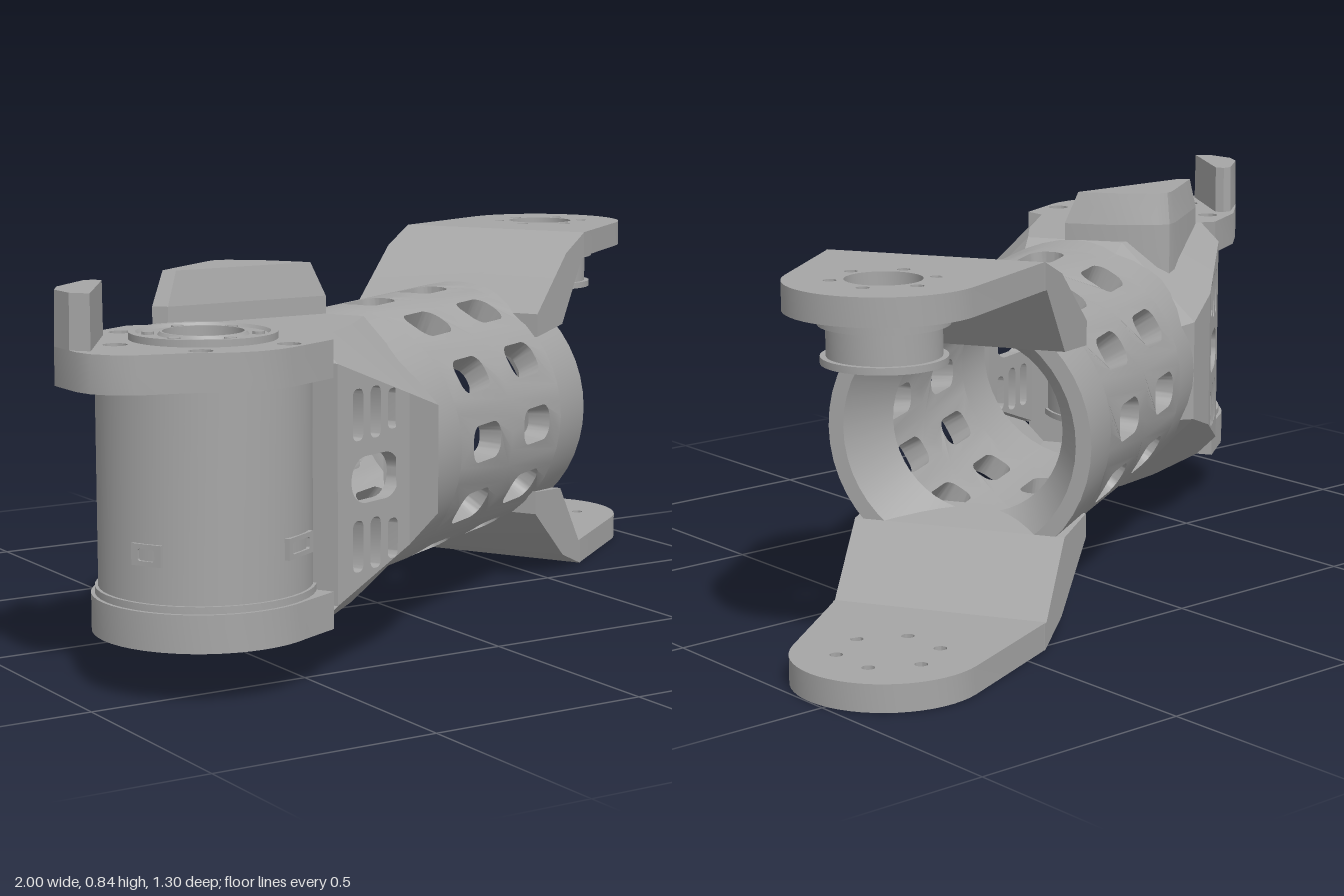
import * as THREE from 'three';
import { mergeGeometries, toCreasedNormals } from 'three/addons/utils/BufferGeometryUtils.js';

const CY = 0.425;   // height of the tube axis
const R = 0.305;    // tube radius
const FORK = 1.7;   // distance between the two joints

const grey = new THREE.MeshStandardMaterial({ color: 0xa6a6a6, side: THREE.DoubleSide });
grey.name = 'grey';

function add(parent, name, geometry, crease = 0.5) {
  const mesh = new THREE.Mesh(toCreasedNormals(geometry, crease), grey);
  mesh.name = name;
  parent.add(mesh);
  return mesh;
}

// Shapes are drawn in plan, as [x, z] points
const plan = pts => new THREE.Shape(pts.map(([x, z]) => new THREE.Vector2(x, -z)));
const hole = (x, z, r) => new THREE.Path().absarc(x, -z, r, 0, Math.PI * 2);

function ringOfHoles(shape, x, z, radius, r, n = 6) {
  for (let i = 0; i < n; i++) {
    const a = i / n * Math.PI * 2;
    shape.holes.push(hole(x + radius * Math.cos(a), z + radius * Math.sin(a), r));
  }
}

// Upright slab from a plan shape; its top can be drawn in
function slab(shape, y0, y1, topScale = 1) {
  const g = new THREE.ExtrudeGeometry(shape, { depth: y1 - y0, bevelEnabled: false, curveSegments: 20 });
  g.rotateX(-Math.PI / 2).translate(0, y0, 0);
  g.computeBoundingBox();
  const c = g.boundingBox.getCenter(new THREE.Vector3()), p = g.attributes.position;
  for (let i = 0; i < p.count; i++) if (p.getY(i) > c.y) {
    p.setX(i, c.x + (p.getX(i) - c.x) * topScale);
    p.setZ(i, c.z + (p.getZ(i) - c.z) * topScale);
  }
  return g;
}

const lathe = pts => new THREE.LatheGeometry([...pts, pts[0]].map(p => new THREE.Vector2(...p)), 48);
const alongTube = g => g.rotateZ(-Math.PI / 2).translate(0, CY, 0);

// Rounded rectangular opening
function slot(cx, cy, w, h, r) {
  const p = new THREE.Path(), a = w / 2 - r, b = h / 2 - r, q = Math.PI / 2;
  p.absarc(cx + a, cy + b, r, 0, q);
  p.absarc(cx - a, cy + b, r, q, 2 * q);
  p.absarc(cx - a, cy - b, r, 2 * q, 3 * q);
  p.absarc(cx + a, cy - b, r, 3 * q, 4 * q);
  p.closePath();
  return p;
}

// One twelfth of the tube wall with a window, bent round the axis
function windowTile(u0, u1, uc, angle) {
  const half = Math.PI / 12, s = new THREE.Shape();
  for (let i = -2; i <= 2; i++) i === -2 ? s.moveTo(u1, -half * R) : s.lineTo(u1, i / 2 * half * R);
  for (let i = 2; i >= -2; i--) s.lineTo(u0, i / 2 * half * R);
  s.holes.push(slot(uc, 0, 0.145, 0.085, 0.034));
  const g = new THREE.ExtrudeGeometry(s, { depth: 0.055, bevelEnabled: false, curveSegments: 5 });
  const p = g.attributes.position;
  for (let i = 0; i < p.count; i++) {
    const a = angle + p.getY(i) / R, r = R - 0.055 + p.getZ(i);
    p.setXYZ(i, p.getX(i), CY + r * Math.cos(a), -r * Math.sin(a));
  }
  return g;
}

// Housing shell: rectangle with growing corner chamfers, [u, halfWidth, halfHeight, chamfer]
function housingShell() {
  const sections = [[0.1, 0.26, R, 0.05], [0.34, R, R, 0.14], [0.48, R, R, 0.185], [0.52, 0.28, 0.28, 0.165]]
    .map(([u, w, h, c]) => [[h, c - w], [h, w - c], [h - c, w], [c - h, w], [-h, w - c], [-h, c - w], [c - h, -w], [h - c, -w]]
      .map(([y, z]) => [u, CY + y, z]));
  const v = [];
  for (let k = 0; k < 3; k++) for (let i = 0; i < 8; i++) {
    if (k === 0 && (i === 2 || i === 6)) continue; // left open for the vented panels
    const j = (i + 1) % 8, A = sections[k], B = sections[k + 1];
    v.push(...A[i], ...A[j], ...B[j], ...A[i], ...B[j], ...B[i]);
  }
  const g = new THREE.BufferGeometry();
  g.setAttribute('position', new THREE.Float32BufferAttribute(v, 3));
  return g;
}

function ventPanel() {
  const s = new THREE.Shape([[0.1, -0.255], [0.34, -0.165], [0.34, 0.165], [0.1, 0.255]].map(p => new THREE.Vector2(...p)));
  s.holes.push(slot(0.225, 0, 0.16, 0.1, 0.048));
  for (const du of [-0.058, 0, 0.058]) for (const y of [-0.14, 0.14])
    s.holes.push(slot(0.225 + du, y, 0.034, 0.11 - Math.max(0, du) * 0.4, 0.014));
  const g = new THREE.ExtrudeGeometry(s, { depth: 0.03, bevelEnabled: false, curveSegments: 6 });
  const p = g.attributes.position;
  for (let i = 0; i < p.count; i++)
    p.setZ(i, p.getZ(i) + 0.23 + 0.045 * (p.getX(i) - 0.1) / 0.24);
  return g;
}

// Sloped riser and round-ended plate; the axis height is at y = 0
function forkArm(name, open) {
  const arm = new THREE.Group();
  arm.name = name;
  const side = new THREE.Shape([[1.14, 0.19], [1.29, 0.205], [1.41, 0.36], [1.42, 0.36], [1.42, 0.42], [1.31, 0.378], [1.14, 0.245]]
    .map(p => new THREE.Vector2(...p)));
  add(arm, 'riser', new THREE.ExtrudeGeometry(side, { depth: 0.49, bevelEnabled: false }).translate(0, 0, -0.245));
  const tip = [], a0 = 1.44;
  for (let i = 0; i <= 24; i++) {
    const a = a0 - 2 * a0 * i / 24;
    tip.push([FORK + 0.205 * Math.cos(a), 0.205 * Math.sin(a)]);
  }
  const plate = plan([[1.42, 0.243], ...tip, [1.42, -0.243]]);
  if (open) plate.holes.push(hole(FORK, 0, 0.08));
  ringOfHoles(plate, FORK, 0, 0.108, 0.014);
  add(arm, 'forkPlate', slab(plate, 0.36, 0.42));
  arm.position.y = CY;
  return arm;
}

export function createModel() {
  const model = new THREE.Group();
  model.name = 'robotArmLink';
  const link = new THREE.Group();
  link.name = 'link';
  link.position.set(-0.68, 0, 0.4);
  link.rotation.y = Math.PI / 6;
  model.add(link);

  // Perforated tube
  const tiles = [];
  for (let i = 0; i < 12; i++) {
    tiles.push(windowTile(0.6, 0.8725, 0.735, i * Math.PI / 6));
    tiles.push(windowTile(0.8725, 1.15, 1.01, i * Math.PI / 6));
  }
  add(link, 'windowedTube', mergeGeometries(tiles), 0.6);
  add(link, 'tubeBase', alongTube(lathe([[R, 0.44], [R, 0.6], [0.25, 0.6], [0.25, 0.44]])));
  add(link, 'tubeCollar', alongTube(lathe([[R, 1.15], [R, 1.29], [0.27, 1.29], [0.2, 1.17], [0.25, 1.15]])));

  // Fork
  link.add(forkArm('upperForkArm', true));
  const lower = forkArm('lowerForkArm', false);
  lower.rotation.x = Math.PI;
  link.add(lower);
  const bearing = lathe([[0.08, 0.675], [0.13, 0.675], [0.13, 0.69], [0.118, 0.69], [0.118, 0.755], [0.135, 0.755], [0.135, 0.786], [0.08, 0.786]]);
  add(link, 'forkBearing', bearing.translate(FORK, 0, 0));

  // Motor housing
  add(link, 'housingShell', housingShell(), 0.1);
  for (const turn of [0, Math.PI]) {
    const panel = add(link, 'ventPanel', ventPanel());
    panel.position.y = CY;
    panel.rotation.x = turn;
  }
  add(link, 'housingWall', new THREE.BoxGeometry(0.02, 0.5, 0.5).translate(0.11, CY, 0));
  const round = [];
  for (let i = 0; i <= 24; i++) {
    const a = Math.PI / 2 + Math.PI * i / 24;
    round.push([0.24 * Math.cos(a), 0.24 * Math.sin(a)]);
  }
  const base = plan([[0.1, 0.25], ...round, [0.1, -0.25]]);
  base.holes.push(hole(0, 0, 0.085));
  ringOfHoles(base, 0, 0, 0.17, 0.014, 4);
  add(link, 'basePlate', slab(base, 0.12, 0.2));

  // Motor
  add(link, 'motor', new THREE.CylinderGeometry(0.225, 0.225, 0.45, 48).translate(0, CY, 0));
  add(link, 'motorRim', lathe([[0.22, 0.2], [0.232, 0.2], [0.232, 0.215], [0.22, 0.215]]));
  const hub = lathe([[0.085, 0.65], [0.155, 0.65], [0.155, 0.745], [0.14, 0.745], [0.135, 0.738], [0.095, 0.738], [0.09, 0.745], [0.085, 0.745]]);
  add(link, 'motorHub', hub);
  for (let i = 0; i < 6; i++) {
    const a = i * Math.PI / 3 + Math.PI / 6, c = Math.cos(a), s = Math.sin(a);
    add(link, 'plateScrew', new THREE.CylinderGeometry(0.016, 0.016, 0.06, 12).translate(0.203 * c, 0.69, 0.203 * s));
    add(link, 'hubScrew', new THREE.CylinderGeometry(0.013, 0.013, 0.012, 12).translate(0.114 * s, 0.738, 0.114 * c));
  }
  // Sockets on the motor wall, given by direction and width
  for (const [a, w] of [[0.52, 0.1], [-1.05, 0.07], [Math.PI - 0.52, 0.1]]) {
    const socket = new THREE.Group();
    socket.name = 'socket';
    socket.position.set(-0.68, 0.315, 0.4);
    socket.rotation.y = a;
    add(socket, 'socketFrame', slabFrame(w));
    model.add(socket);
  }

  // Top plate and its stops
  const top = plan([[-0.468, 0.567], [-0.6, 0.627], [-0.635, 0.638], [-0.68, 0.643], [-0.74, 0.633], [-0.82, 0.592],
    [-0.92, 0.565], [-0.96, 0.54], [-0.99, 0.5], [-1, 0.46], [-1, 0.36], [-0.98, 0.32], [-0.94, 0.28], [-0.85, 0.2], [-0.718, 0.133]]);
  top.holes.push(hole(-0.68, 0.4, 0.15));
  ringOfHoles(top, -0.68, 0.4, 0.203, 0.025);
  add(model, 'topPlate', slab(top, 0.65, 0.73));
  const stop = plan([[-0.67, 0.155], [-0.645, 0.18], [-0.25, 0.18], [-0.32, 0.08], [-0.4, 0.01], [-0.43, 0], [-0.46, 0.012]]);
  add(model, 'longStopFoot', slab(stop, 0.62, 0.77));
  add(model, 'longStop', slab(stop, 0.77, 0.845, 0.85));
  const tab = plan([[-1, 0.43], [-0.97, 0.465], [-0.835, 0.25], [-0.845, 0.23], [-0.87, 0.23], [-0.97, 0.31], [-1, 0.36]]);
  add(model, 'shortStop', slab(tab, 0.73, 0.845, 0.97));

  return model;
}

// Small rectangular socket standing proud of the motor
function slabFrame(w) {
  const s = new THREE.Shape([[-w, -0.045], [w, -0.045], [w, 0.045], [-w, 0.045]].map(([x, y]) => new THREE.Vector2(x / 2, y / 2)));
  s.holes.push(slot(0, 0, w - 0.03, 0.025, 0.005));
  return new THREE.ExtrudeGeometry(s, { depth: 0.02, bevelEnabled: false }).translate(0, 0, 0.21);
}
